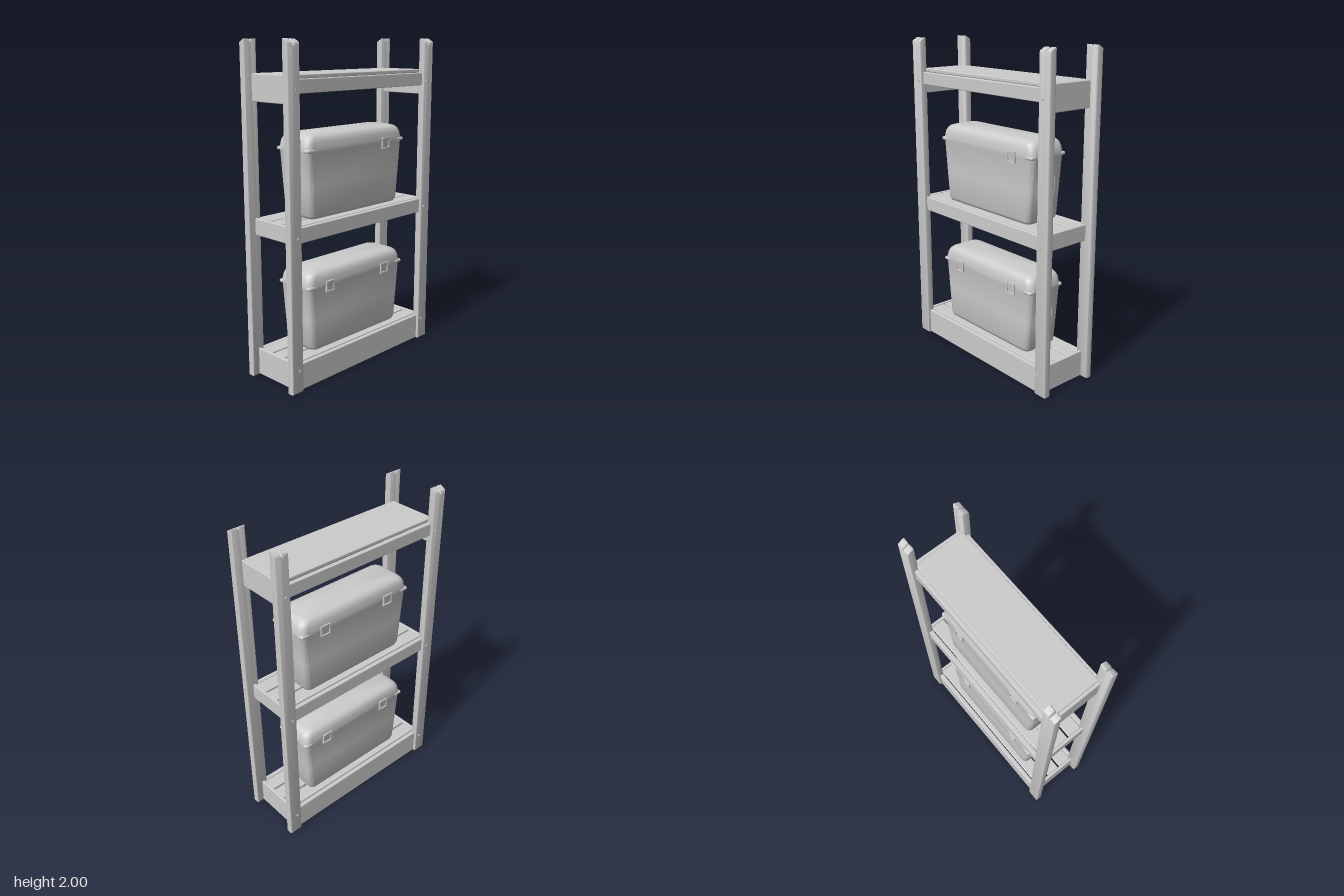
import * as THREE from 'three';
import { toCreasedNormals } from 'three/addons/utils/BufferGeometryUtils.js';
import { RoundedBoxGeometry } from 'three/addons/geometries/RoundedBoxGeometry.js';

const grey = new THREE.MeshStandardMaterial({ color: 0xcccccc });
grey.name = 'light grey';

function add(parent, name, geometry, x = 0, y = 0, z = 0) {
  const mesh = new THREE.Mesh(geometry, grey);
  mesh.name = name;
  mesh.position.set(x, y, z);
  parent.add(mesh);
  return mesh;
}

// Board given by its limits on each axis
function board(parent, name, x0, x1, y0, y1, z0, z1, r = 0.005) {
  const g = new RoundedBoxGeometry(x1 - x0, y1 - y0, z1 - z0, 2, r);
  return add(parent, name, g, (x0 + x1) / 2, (y0 + y1) / 2, (z0 + z1) / 2);
}

// Stacked rounded rectangles: rows of [y, half width, half depth, corner radius]
function loft(rows, steps = 6) {
  const pos = [], index = [], n = 4 * (steps + 1);
  for (const [y, hx, hz, r] of rows) {
    for (let q = 0; q < 4; q++) {
      const sx = q === 0 || q === 3 ? 1 : -1, sz = q < 2 ? 1 : -1;
      for (let i = 0; i <= steps; i++) {
        const t = (q + i / steps) * Math.PI / 2;
        pos.push(sx * (hx - r) + r * Math.cos(t), y, sz * (hz - r) + r * Math.sin(t));
      }
    }
  }
  for (let k = 0; k < rows.length - 1; k++) {
    for (let i = 0; i < n; i++) {
      const a = k * n + i, b = k * n + (i + 1) % n;
      index.push(a, a + n, b, b, a + n, b + n);
    }
  }
  const g = new THREE.BufferGeometry();
  g.setAttribute('position', new THREE.Float32BufferAttribute(pos, 3));
  g.setIndex(index);
  return toCreasedNormals(g, 1);
}

// Upright with rounded edges and a notched, outward sloping top
function postGeometry() {
  const b = 0.007, w = 0.0425 - b;
  const s = new THREE.Shape();
  s.moveTo(-w, b);
  s.lineTo(w, b);
  s.lineTo(w, 2 - b);
  s.lineTo(0.01, 2 - b);
  s.lineTo(0, 1.975);
  s.lineTo(-0.01, 2 - b);
  s.lineTo(-w, 2 - b);
  const g = new THREE.ExtrudeGeometry(s, {
    depth: 0.046 - 2 * b, bevelThickness: b, bevelSize: b, bevelSegments: 3,
  });
  g.translate(0, 0, b);
  const p = g.attributes.position;
  for (let i = 0; i < p.count; i++) {
    if (p.getY(i) > 1.9) p.setY(i, p.getY(i) - 0.022 * Math.max(0, p.getZ(i) - 0.01) / 0.036);
  }
  return toCreasedNormals(g, 0.8);
}

function addFrame(parent) {
  const post = postGeometry();
  const bolt = new THREE.CylinderGeometry(0.009, 0.009, 0.054, 12).rotateX(Math.PI / 2);
  for (const sx of [-1, 1]) {
    for (const sz of [-1, 1]) {
      const upright = add(parent, 'post', post, sx * 0.573, 0, sz * 0.155);
      if (sz < 0) upright.rotation.y = Math.PI;
      for (const y of [0.135, 0.92, 1.735]) add(parent, 'bolt', bolt, sx * 0.56, y, sz * 0.179);
    }
  }
}

// Long rails at front and back, short boards at the ends
function addShelfFrame(parent, railLow, railHigh, endLow, endHigh) {
  for (const s of [-1, 1]) {
    const z = s * 0.169, x = s * 0.56;
    board(parent, 'shelfRail', -0.55, 0.55, railLow, railHigh, z - 0.014, z + 0.014);
    board(parent, 'shelfEnd', x - 0.01, x + 0.01, endLow, endHigh, -0.16, 0.16);
  }
}

function addSlats(parent, top) {
  for (let i = -1; i <= 1; i++) {
    board(parent, 'shelfSlat', -0.55, 0.55, top - 0.022, top, i * 0.104 - 0.046, i * 0.104 + 0.046);
  }
}

// Carrying handle on the +x end of a box
function makeHandle() {
  const handle = new THREE.Group();
  handle.name = 'handle';
  board(handle, 'handleMount', 0.39, 0.42, 0.3, 0.345, -0.028, 0.028, 0.006);
  for (const s of [-1, 1]) {
    const path = new THREE.CatmullRomCurve3([
      [0.41, 0.335, 0.011], [0.428, 0.312, 0.011], [0.445, 0.265, 0.01],
      [0.443, 0.21, 0.011], [0.434, 0.157, 0.013], [0.418, 0.15, 0.012],
    ].map(([x, y, z]) => new THREE.Vector3(x, y, z * s)));
    add(handle, 'handleStrap', new THREE.TubeGeometry(path, 24, 0.01, 8));
  }
  board(handle, 'handleGrip', 0.41, 0.443, 0.14, 0.16, -0.02, 0.02, 0.007);
  return handle;
}

// Square latch frame with an opening
function latchFrameGeometry() {
  const square = (shape, h) => {
    shape.moveTo(-h, -h);
    shape.lineTo(h, -h);
    shape.lineTo(h, h);
    shape.lineTo(-h, h);
    return shape;
  };
  const frame = square(new THREE.Shape(), 0.034);
  frame.holes.push(square(new THREE.Path(), 0.027));
  return new THREE.ExtrudeGeometry(frame, { depth: 0.017, bevelEnabled: false });
}

function makeCoolBox(name, baseY, frontLatches) {
  const box = new THREE.Group();
  box.name = name;
  box.position.y = baseY;
  // Tapered body running smoothly into the domed lid, with a shallow rim
  add(box, 'boxShell', loft([
    [0, 0, 0, 0], [0, 0.355, 0.1, 0.03], [0.006, 0.371, 0.115, 0.035],
    [0.025, 0.382, 0.122, 0.035], [0.2, 0.397, 0.125, 0.035],
    [0.385, 0.412, 0.128, 0.035], [0.395, 0.415, 0.131, 0.037],
    [0.412, 0.415, 0.131, 0.04], [0.45, 0.409, 0.129, 0.045],
    [0.473, 0.398, 0.122, 0.045], [0.488, 0.382, 0.11, 0.045],
    [0.497, 0.355, 0.085, 0.04], [0.497, 0, 0, 0],
  ]));
  // Rim lugs at the corners
  for (const sx of [-1, 1]) {
    for (const sz of [-1, 1]) {
      const x = sx * 0.387, z = sz * 0.115;
      board(box, 'rimLug', x - 0.03, x + 0.03, 0.392, 0.414, z - 0.02, z + 0.02, 0.01);
    }
  }
  // Latches: an open frame with a tilted pull inside
  const frame = latchFrameGeometry();
  const pull = new THREE.BoxGeometry(0.054, 0.054, 0.006);
  const addLatch = (x, side) => {
    const latch = new THREE.Group();
    latch.name = 'latch';
    latch.position.set(x, 0.391, side * 0.122);
    latch.rotation.y = side > 0 ? 0 : Math.PI;
    add(latch, 'latchFrame', frame);
    add(latch, 'latchPull', pull, 0, 0, 0.009).rotation.x = 0.12;
    box.add(latch);
  };
  frontLatches.forEach((x) => addLatch(x, 1));
  [-0.245, 0.245].forEach((x) => addLatch(x, -1));
  for (const turn of [0, Math.PI]) {
    const handle = makeHandle();
    handle.rotation.y = turn;
    box.add(handle);
  }
  return box;
}

export function createModel() {
  const model = new THREE.Group();
  model.name = 'shelfUnit';
  addFrame(model);

  // Bottom and middle slatted shelves
  addShelfFrame(model, 0, 0.163, 0.003, 0.17);
  addSlats(model, 0.165);
  addShelfFrame(model, 0.885, 0.975, 0.88, 0.98);
  addSlats(model, 0.977);

  // Top shelf with one solid panel
  addShelfFrame(model, 1.712, 1.79, 1.655, 1.81);
  board(model, 'topPanel', -0.55, 0.55, 1.79, 1.812, -0.16, 0.16);

  model.add(makeCoolBox('lowerCoolBox', 0.167, [-0.245, 0.245]));
  model.add(makeCoolBox('upperCoolBox', 0.978, [0.245]));
  return model;
}
